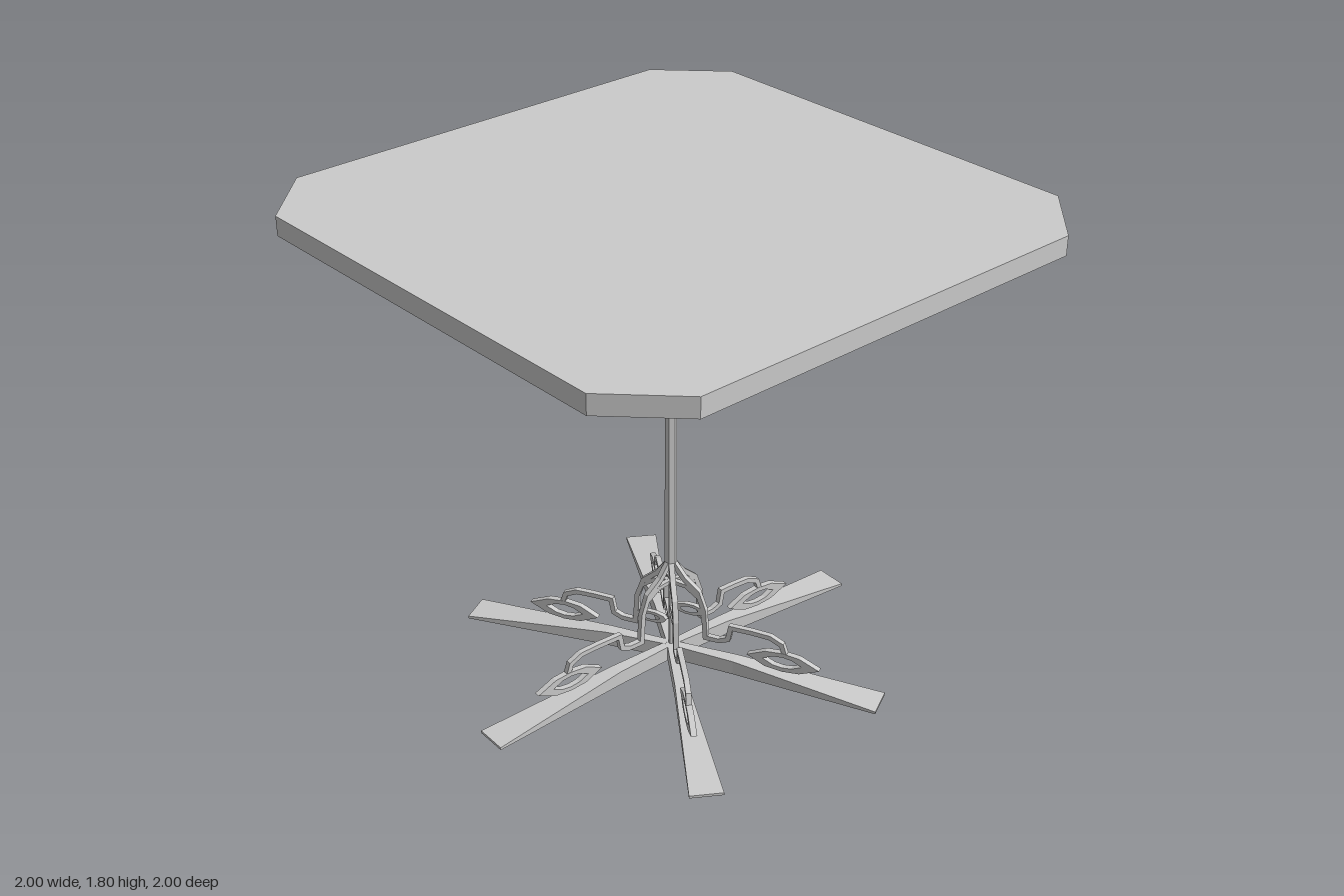
import * as THREE from 'three';

const mat = new THREE.MeshStandardMaterial({ color: 0xcccccc, flatShading: true });
const RAD = Math.PI / 180;

function add(parent, name, geometry) {
  const mesh = new THREE.Mesh(geometry, mat);
  mesh.name = name;
  parent.add(mesh);
  return mesh;
}

// Flat plate cut from an outline, centred on its own plane
function plate(outline, hole, depth) {
  const shape = new THREE.Shape(outline);
  if (hole) shape.holes.push(new THREE.Path(hole));
  return new THREE.ExtrudeGeometry(shape, { depth, bevelEnabled: false }).translate(0, 0, -depth / 2);
}

// Outline of a bent strip of even width that follows a polyline
function stripOutline(points, width) {
  const left = [], right = [];
  points.forEach((p, i) => {
    const a = points[Math.max(i - 1, 0)], b = points[Math.min(i + 1, points.length - 1)];
    const d1 = p.clone().sub(a).normalize(), d2 = b.clone().sub(p).normalize();
    const t = d1.clone().add(d2).normalize();
    const ref = i ? d1 : d2;
    const k = width / 2 / Math.max(0.5, t.dot(ref));
    left.push(new THREE.Vector2(p.x - t.y * k, p.y + t.x * k));
    right.unshift(new THREE.Vector2(p.x + t.y * k, p.y - t.x * k));
  });
  return left.concat(right);
}

// One wrought scroll arm; mapY places its profile at the top or the base
function scrollArm(name, angle, mapY, eyeY) {
  const arm = new THREE.Group();
  arm.name = name;
  arm.rotation.y = -angle * RAD;
  const shift = -0.025 * Math.cos(angle * RAD) + 0.018 * Math.sin(angle * RAD);
  const pts = (list, cx = 0, cy = 0) => list.map(([x, y]) => new THREE.Vector2(cx + x, mapY(cy + y)));

  // Stem, hook and arch up to the leaf
  add(arm, 'scrollStem', plate(stripOutline(pts([
    [0.012, 1.08], [0.05, 1.17], [0.105, 1.25], [0.13, 1.37], [0.138, 1.585],
    [0.19, 1.585], [0.225, 1.56], [0.235, 1.452], [0.31 + shift, 1.45],
    [0.38 + shift, 1.455], [0.425 + shift, 1.49], [0.438 + shift, 1.575],
  ]), 0.018), null, 0.02));

  // Short strand that closes the cup
  add(arm, 'cupStrand', plate(stripOutline(pts([
    [0, 1.212], [0.06, 1.225], [0.112, 1.29],
  ]), 0.015), null, 0.018));

  // Open hexagonal leaf
  const cx = 0.43 + shift;
  add(arm, 'leaf', plate(
    pts([[-0.135, 0], [-0.065, 0.055], [0, 0.066], [0.065, 0.055], [0.14, 0],
      [0.065, -0.055], [0, -0.066], [-0.065, -0.055]], cx, 1.63),
    pts([[-0.075, 0], [-0.035, 0.031], [0, 0.038], [0.035, 0.031], [0.075, 0],
      [0.035, -0.031], [0, -0.038], [-0.035, -0.031]], cx, 1.63), 0.022));

  // Small eye held inside the stem
  if (eyeY) {
    const eye = (w, h) => Array.from({ length: 10 }, (_, i) => {
      const a = i / 10 * Math.PI * 2;
      return [w * Math.cos(a), h * Math.sin(a)];
    });
    add(arm, 'eyeRing', plate(pts(eye(0.06, 0.038), 0.075, eyeY), pts(eye(0.034, 0.019), 0.075, eyeY), 0.018));
  }
  return arm;
}

// Foot that flares outward and slopes down to its tip
function footGeometry() {
  const sections = [[0, 0.015, 0.06], [0.25, 0.024, 0.056], [0.8, 0.06, 0.01]];
  const g = new THREE.BoxGeometry(2, 1, 1, 2, 1, 1);
  const p = g.attributes.position;
  for (let i = 0; i < p.count; i++) {
    const [r, half, top] = sections[Math.round(p.getX(i) + 1)];
    p.setXYZ(i, r, p.getY(i) > 0 ? top : 0, Math.sign(p.getZ(i)) * half);
  }
  const flat = g.toNonIndexed();
  flat.computeVertexNormals();
  return flat;
}

export function createModel() {
  const model = new THREE.Group();
  model.name = 'pedestalTable';

  // Square top with cut corners
  const c = 0.78;
  const corners = [[1, -c], [1, c], [c, 1], [-c, 1], [-1, c], [-1, -c], [-c, -1], [c, -1]]
    .map(([x, y]) => new THREE.Vector2(x, y));
  const top = add(model, 'tableTop', plate(corners, null, 0.07));
  top.rotation.x = -Math.PI / 2;
  top.position.y = 1.765;

  // Slim bars under the top
  for (let i = 0; i < 3; i++) {
    const bar = add(model, 'supportBar', new THREE.BoxGeometry(1.6, 0.012, 0.016));
    bar.rotation.y = -(60 * i - 4) * RAD;
    bar.position.y = 1.702;
  }

  // Post
  add(model, 'post', new THREE.CylinderGeometry(0.021, 0.023, 0.72, 6).translate(0, 0.75, 0));
  add(model, 'baseRod', new THREE.CylinderGeometry(0.009, 0.009, 0.36, 6).translate(0, 0.23, 0));

  // Six feet and six scroll arms at each end of the post
  const foot = footGeometry();
  for (let i = 0; i < 6; i++) {
    const a = 60 * i;
    const onSide = i % 3 === 0;
    add(model, 'foot', foot).rotation.y = -(a + 3) * RAD;
    const topEye = onSide ? 0 : Math.cos(a * RAD) > 0 ? 1.51 : 1.39;
    const baseEye = onSide ? 0 : Math.sin(a * RAD) > 0 ? 1.385 : 1.505;
    model.add(scrollArm('topScrollArm', a - 4, y => y, topEye));
    model.add(scrollArm('baseScrollArm', a + 4, y => 0.41 - 0.6 * (y - 1.09) + (y > 1.55 ? 0.012 : 0), baseEye));
  }
  return model;
}
